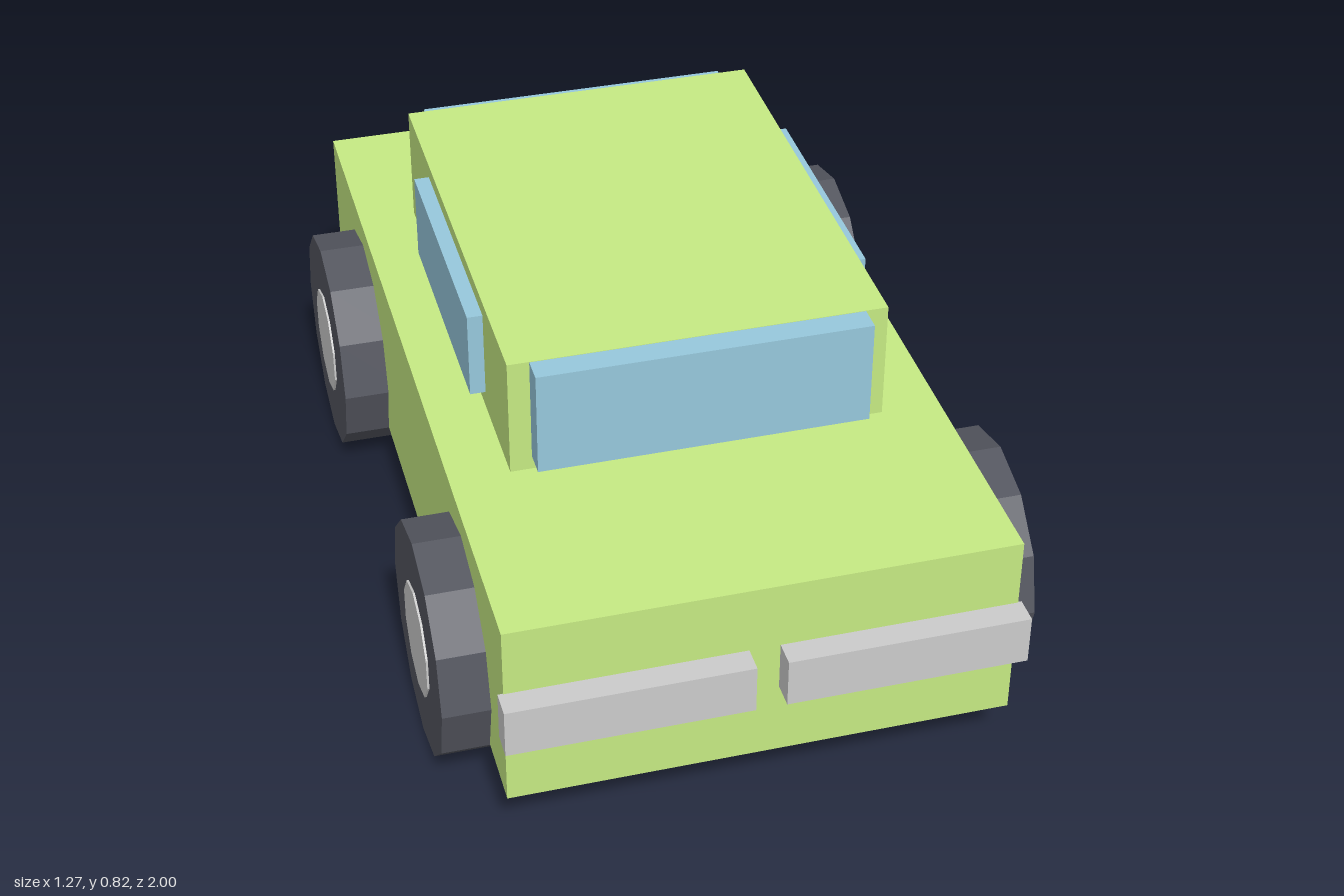
import * as THREE from 'three';

const mat = (color) => new THREE.MeshStandardMaterial({ color, flatShading: true });

export function createModel() {
  const car = new THREE.Group();
  car.name = 'car';
  const paint = mat(0xc6ea83), glass = mat(0x97c8dc), tyreMat = mat(0x54565f);
  const grey = mat(0xcccccc), red = mat(0xea7373);

  // Box given by its limits on each axis
  function box(name, material, [x0, x1], [y0, y1], [z0, z1]) {
    const mesh = new THREE.Mesh(new THREE.BoxGeometry(x1 - x0, y1 - y0, z1 - z0), material);
    mesh.position.set((x0 + x1) / 2, (y0 + y1) / 2, (z0 + z1) / 2);
    mesh.name = name;
    car.add(mesh);
  }

  // Body and cabin
  box('body', paint, [-0.528, 0.528], [0.128, 0.556], [-0.945, 0.945]);
  box('cabin', paint, [-0.4, 0.4], [0.55, 0.822], [-0.572, 0.457]);

  // Windows
  box('windscreen', glass, [-0.354, 0.352], [0.587, 0.821], [0.44, 0.512]);
  box('rearWindow', glass, [-0.354, 0.352], [0.587, 0.795], [-0.628, -0.55]);
  box('leftWindow', glass, [0.38, 0.431], [0.595, 0.789], [-0.34, 0.225]);
  box('rightWindow', glass, [-0.433, -0.38], [0.595, 0.789], [-0.34, 0.225]);

  // Front and rear lamps
  box('leftHeadlight', grey, [0.03, 0.536], [0.296, 0.405], [0.943, 1]);
  box('rightHeadlight', grey, [-0.539, -0.034], [0.296, 0.405], [0.943, 1]);
  box('leftTailLight', red, [0.073, 0.516], [0.3, 0.4], [-1, -0.943]);
  box('rightTailLight', red, [-0.52, -0.078], [0.3, 0.4], [-1, -0.943]);

  // Wheels: twelve-sided tyres with ten-sided hubs
  const tyreGeo = new THREE.CylinderGeometry(0.25, 0.25, 0.151, 12).rotateZ(Math.PI / 2);
  const hubGeo = new THREE.CylinderGeometry(0.122, 0.122, 0.1, 10, 1, false, Math.PI / 2)
    .rotateZ(Math.PI / 2).rotateX(Math.PI / 2);
  // Turn the hub so that it has a flat top
  hubGeo.rotateX(Math.PI / 2);
  const axles = [['front', 0.566], ['rear', -0.55]];
  for (const [end, z] of axles) {
    for (const side of [1, -1]) {
      const wheel = new THREE.Group();
      wheel.name = end + (side > 0 ? 'Left' : 'Right') + 'Wheel';
      const tyre = new THREE.Mesh(tyreGeo, tyreMat);
      tyre.name = 'tyre';
      const hub = new THREE.Mesh(hubGeo, grey);
      hub.name = 'hub';
      hub.position.x = side * 0.03;
      wheel.add(tyre, hub);
      wheel.position.set(side * 0.553, 0.25, z);
      car.add(wheel);
    }
  }
  return car;
}
